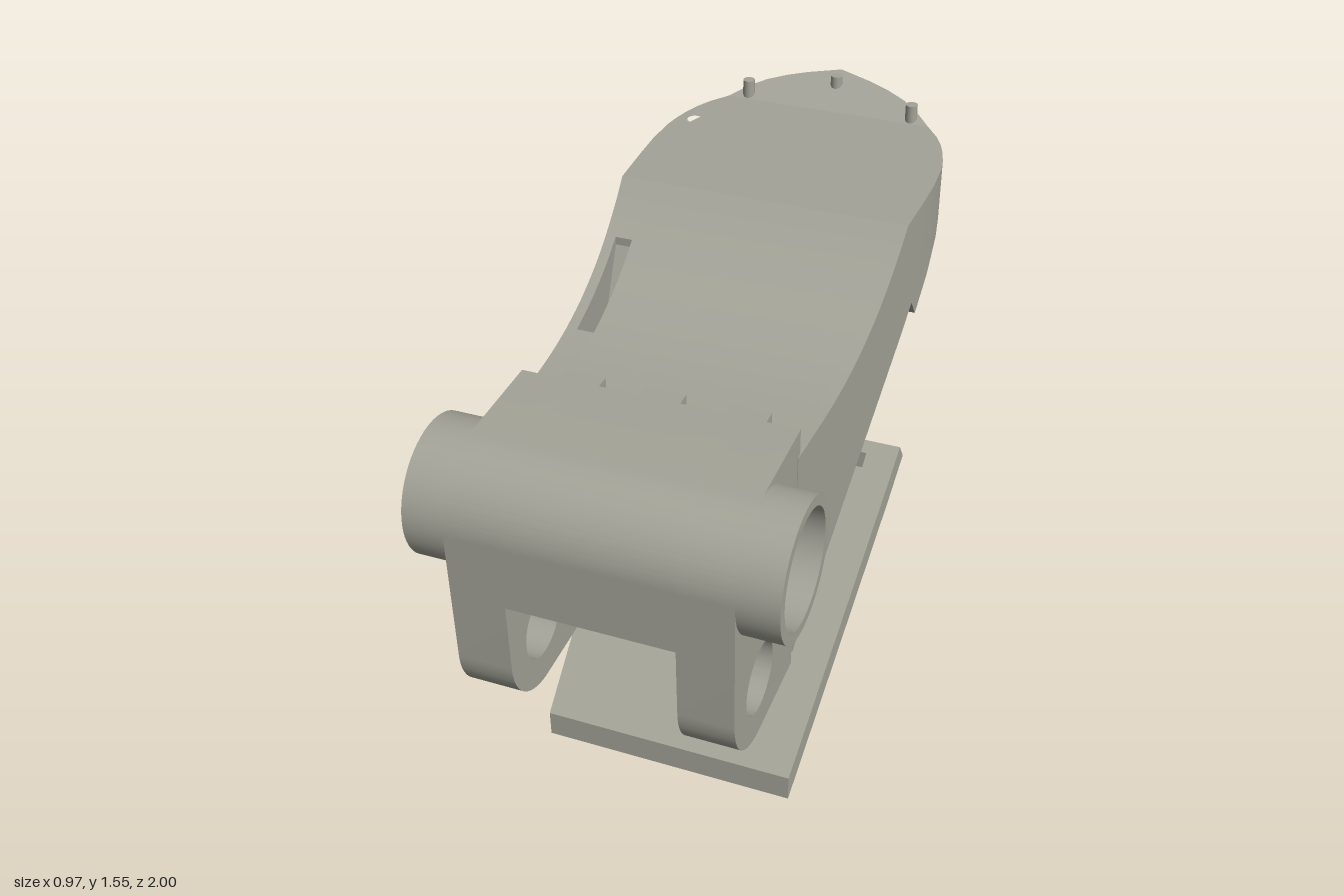
import * as THREE from 'three';
import { toCreasedNormals } from 'three/addons/utils/BufferGeometryUtils.js';

// Piecewise linear lookup over [z, value] pairs, z ascending
const table = (pts) => (z) => {
  let i = 0;
  while (i < pts.length - 2 && z > pts[i + 1][0]) i++;
  const [z0, v0] = pts[i], [z1, v1] = pts[i + 1];
  return v0 + (v1 - v0) * Math.min(1, Math.max(0, (z - z0) / (z1 - z0)));
};

// Body rules: half width, top line and underside line along z
const widthPts = [[-1, 0.002], [-0.975, 0.1], [-0.955, 0.162], [-0.93, 0.22], [-0.9, 0.268], [-0.855, 0.32],
  [-0.8, 0.36], [-0.75, 0.386], [-0.7, 0.404], [-0.65, 0.417], [-0.6, 0.425], [-0.5, 0.43], [-0.4, 0.428],
  [-0.25, 0.422], [0.55, 0.377]];
const topPts = [[-1, 1.55], [-0.855, 1.475], [-0.25, 1.475], [-0.2, 1.432], [-0.15, 1.396], [-0.1, 1.364],
  [-0.05, 1.336], [0, 1.313], [0.05, 1.294], [0.1, 1.278], [0.15, 1.265], [0.22, 1.252], [0.3, 1.243], [0.37, 1.24], [0.55, 1.24]];
const bottomPts = [[-1, 1.52], [-0.39, 1.115], [-0.345, 1.175], [0.55, 0.59]];
const w = table(widthPts), top = table(topPts), bottom = table(bottomPts);
const roof = (z) => bottom(z) + 0.12;
const breaks = [...widthPts, ...topPts, ...bottomPts].map((p) => p[0]);

// Solid between za and zb with rectangular sections given by four rules of z
function loft(za, zb, x0, x1, lo, hi) {
  const zs = [...new Set([za, ...breaks.filter((z) => z > za && z < zb), zb])].sort((a, b) => a - b);
  const pos = [], idx = [];
  for (const z of zs) {
    pos.push(x0(z), lo(z), z, x1(z), lo(z), z, x1(z), hi(z), z, x0(z), hi(z), z);
  }
  for (let k = 0; k < zs.length - 1; k++) {
    for (let i = 0; i < 4; i++) {
      const j = (i + 1) % 4, a = k * 4 + i, b = k * 4 + j;
      idx.push(a, b, b + 4, a, b + 4, a + 4);
    }
  }
  const e = (zs.length - 1) * 4;
  idx.push(0, 2, 1, 0, 3, 2, e, e + 1, e + 2, e, e + 2, e + 3);
  const g = new THREE.BufferGeometry();
  g.setAttribute('position', new THREE.Float32BufferAttribute(pos, 3));
  g.setIndex(idx);
  return toCreasedNormals(g, 0.4);
}

export function createModel() {
  const model = new THREE.Group();
  const grey = new THREE.MeshStandardMaterial({ color: 0xa3a398 });
  grey.name = 'warm grey plastic';
  const add = (name, geometry, x = 0, y = 0, z = 0) => {
    const m = new THREE.Mesh(geometry, grey);
    m.name = name;
    m.position.set(x, y, z);
    model.add(m);
    return m;
  };
  const c = (v) => () => v;
  const neg = (z) => -w(z);
  const inset = (side, d) => (z) => side * (w(z) - d);

  // Toe: sloping tip, core, and a top plate with four screw holes
  add('toeTip', loft(-1, -0.855, neg, w, bottom, top));
  add('toeCore', loft(-0.855, -0.25, neg, w, bottom, c(1.435)));
  const zs = widthPts.map((p) => p[0]).filter((z) => z >= -0.855 && z <= -0.25);
  const plan = new THREE.Shape([
    ...zs.map((z) => new THREE.Vector2(w(z), -z)),
    ...zs.slice().reverse().map((z) => new THREE.Vector2(-w(z), -z)),
  ]);
  for (const [x, z] of [[0.36, -0.665], [0.37, -0.45]]) {
    for (const s of [-1, 1]) plan.holes.push(new THREE.Path().absarc(s * x, -z, 0.023, 0, Math.PI * 2, true));
  }
  const plate = new THREE.ExtrudeGeometry(plan, { depth: 0.04, bevelEnabled: false, curveSegments: 16 });
  plate.rotateX(-Math.PI / 2);
  add('toePlate', toCreasedNormals(plate, 0.4), 0, 1.435, 0);

  // Locating pegs on the tip
  for (const [x, z, h] of [[-0.26, -0.875, 1.53], [0.26, -0.875, 1.53], [0, -0.95, 1.552]]) {
    add('peg', new THREE.CylinderGeometry(0.018, 0.018, 0.07, 20), x, h - 0.035, z);
  }

  // Hollow middle: side walls, roof, and a slot through the roof on the right
  add('middleRear', loft(-0.25, -0.22, neg, w, bottom, top));
  add('leftWall', loft(-0.22, 0.48, inset(1, 0.03), w, bottom, top));
  add('rightWall', loft(-0.22, 0.48, neg, inset(-1, 0.03), bottom, top));
  add('roof', loft(-0.22, 0.48, inset(-1, 0.08), inset(1, 0.03), roof, top));
  const slotL = inset(-1, 0.03), slotR = inset(-1, 0.08);
  add('roofBehindSlot', loft(-0.22, -0.1, slotL, slotR, roof, top));
  add('roofBeforeSlot', loft(0.22, 0.48, slotL, slotR, roof, top));
  add('slotRamp', loft(-0.1, 0.06, slotL, slotR, roof, table([[-0.1, 1.34], [0.06, 1.06]])));

  // Front wall with a latch notch
  add('frontWallRight', loft(0.48, 0.55, neg, c(-0.17), bottom, top));
  add('frontWallLeft', loft(0.48, 0.55, c(0.17), w, bottom, top));
  add('frontWallMiddle', loft(0.48, 0.55, c(-0.17), c(0.17), c(0.705), top));

  // Hinge bracket: side profile in z and y, extruded across x
  const across = (shape, width) => {
    const g = new THREE.ExtrudeGeometry(shape, { depth: width, bevelEnabled: false, curveSegments: 32 });
    g.rotateY(-Math.PI / 2);
    g.translate(width / 2, 0, 0);
    return toCreasedNormals(g, 0.4);
  };
  const hole = (y, r) => new THREE.Path().absarc(0.815, y, r, 0, Math.PI * 2, true);
  const cheek = new THREE.Shape();
  cheek.moveTo(0.555, 0.55);
  cheek.lineTo(0.815, 0.55);
  cheek.absarc(0.815, 0.735, 0.185, -Math.PI / 2, 0, false);
  cheek.lineTo(1, 1.13);
  cheek.absarc(0.815, 1.13, 0.185, 0, Math.PI / 2, false);
  cheek.lineTo(0.53, 1.315);
  cheek.lineTo(0.53, 0.62);
  cheek.lineTo(0.555, 0.59);
  cheek.holes.push(hole(0.735, 0.1), hole(1.13, 0.17));
  for (const s of [-1, 1]) add('bracketCheek', across(cheek, 0.15), s * 0.3, 0, 0);

  const bridge = new THREE.Shape();
  bridge.moveTo(0.53, 0.942);
  bridge.lineTo(1, 0.942);
  bridge.lineTo(1, 1.13);
  bridge.absarc(0.815, 1.13, 0.185, 0, Math.PI / 2, false);
  bridge.lineTo(0.53, 1.315);
  bridge.holes.push(hole(1.13, 0.17));
  add('bracketBridge', across(bridge, 0.45));

  // Hinge barrel with counterbored ends
  const barrel = new THREE.LatheGeometry([[0.125, -0.385], [0.155, -0.385], [0.155, -0.485], [0.185, -0.485],
    [0.185, 0.485], [0.155, 0.485], [0.155, 0.385], [0.125, 0.385], [0.125, -0.385]]
    .map(([r, y]) => new THREE.Vector2(r, y)), 64);
  barrel.rotateZ(-Math.PI / 2);
  add('hingeBarrel', toCreasedNormals(barrel, 0.4), 0, 1.13, 0.815);

  // Tabs along the bracket's rear edge
  for (const x of [-0.215, 0.005, 0.232]) add('bracketTab', new THREE.BoxGeometry(0.11, 0.04, 0.05), x, 1.295, 0.515);

  // Separate underside cover with a cross slot near its rear edge
  const coverTop = table([[-0.38, 0.602], [-0.34, 0.66], [0.55, 0.085]]);
  const coverLow = table([[-0.38, 0.6], [0.55, 0]]);
  add('coverMain', loft(-0.265, 0.55, neg, w, coverLow, coverTop));
  add('coverSlotRight', loft(-0.305, -0.265, neg, c(-0.33), coverLow, coverTop));
  add('coverSlotLeft', loft(-0.305, -0.265, c(0.33), w, coverLow, coverTop));
  // The rear strip is split at the top corner so its end stays square to the slope
  add('coverRear', loft(-0.34, -0.305, neg, w, coverLow, coverTop));
  add('coverRearEdge', loft(-0.38, -0.34, neg, w, coverLow, coverTop));

  return model;
}
